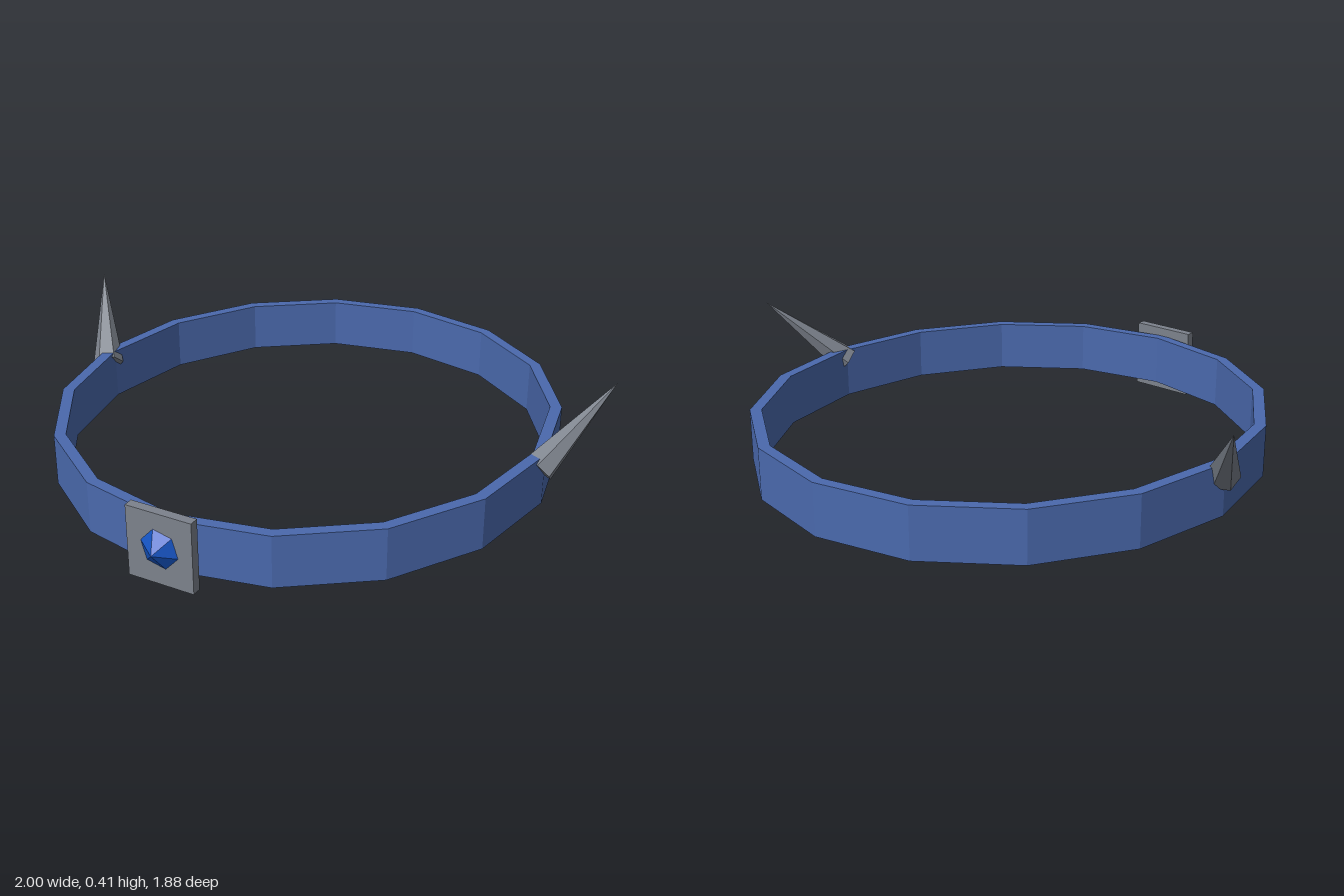
import * as THREE from 'three';

const mat = (color) => new THREE.MeshStandardMaterial({ color, flatShading: true });

function add(parent, name, geometry, material) {
  const mesh = new THREE.Mesh(geometry, material);
  mesh.name = name;
  parent.add(mesh);
  return mesh;
}

// Points of a 16-sided oval
function oval(rx, rz, sides = 16) {
  return Array.from({ length: sides }, (_, i) => {
    const a = (i / sides) * Math.PI * 2;
    return new THREE.Vector2(rx * Math.cos(a), rz * Math.sin(a));
  });
}

export function createModel() {
  const group = new THREE.Group();
  group.name = 'circlet';
  const blue = mat(0x4a69ad);
  const metal = mat(0x7c828c);
  const gemBlue = mat(0x1553c0);

  // Faceted oval head band
  const shape = new THREE.Shape(oval(0.85, 0.903));
  shape.holes.push(new THREE.Path(oval(0.81, 0.864)));
  const bandGeometry = new THREE.ExtrudeGeometry(shape, { depth: 0.177, bevelEnabled: false });
  bandGeometry.rotateX(-Math.PI / 2);
  add(group, 'band', bandGeometry, blue).position.set(0, 0.035, -0.035);

  // Square plate at the brow
  add(group, 'browPlate', new THREE.BoxGeometry(0.23, 0.243, 0.032), metal)
    .position.set(0, 0.1215, 0.879);

  // Six-sided pointed gem on the plate
  const gemGeometry = new THREE.ConeGeometry(0.074, 0.05, 6);
  gemGeometry.rotateY(0.3);
  gemGeometry.rotateX(Math.PI / 2);
  add(group, 'gem', gemGeometry, gemBlue).position.set(0, 0.123, 0.915);

  // Swept-back horn on each side
  const up = new THREE.Vector3(0, 1, 0);
  for (const side of [1, -1]) {
    const base = new THREE.Vector3(side * 0.835, 0.165, -0.022);
    const tip = new THREE.Vector3(side, 0.41, -0.25);
    const axis = tip.clone().sub(base);
    const horn = add(group, side > 0 ? 'leftHorn' : 'rightHorn',
      new THREE.ConeGeometry(0.055, axis.length(), 6), metal);
    horn.position.copy(base).add(tip).multiplyScalar(0.5);
    horn.quaternion.setFromUnitVectors(up, axis.normalize());
  }

  return group;
}
